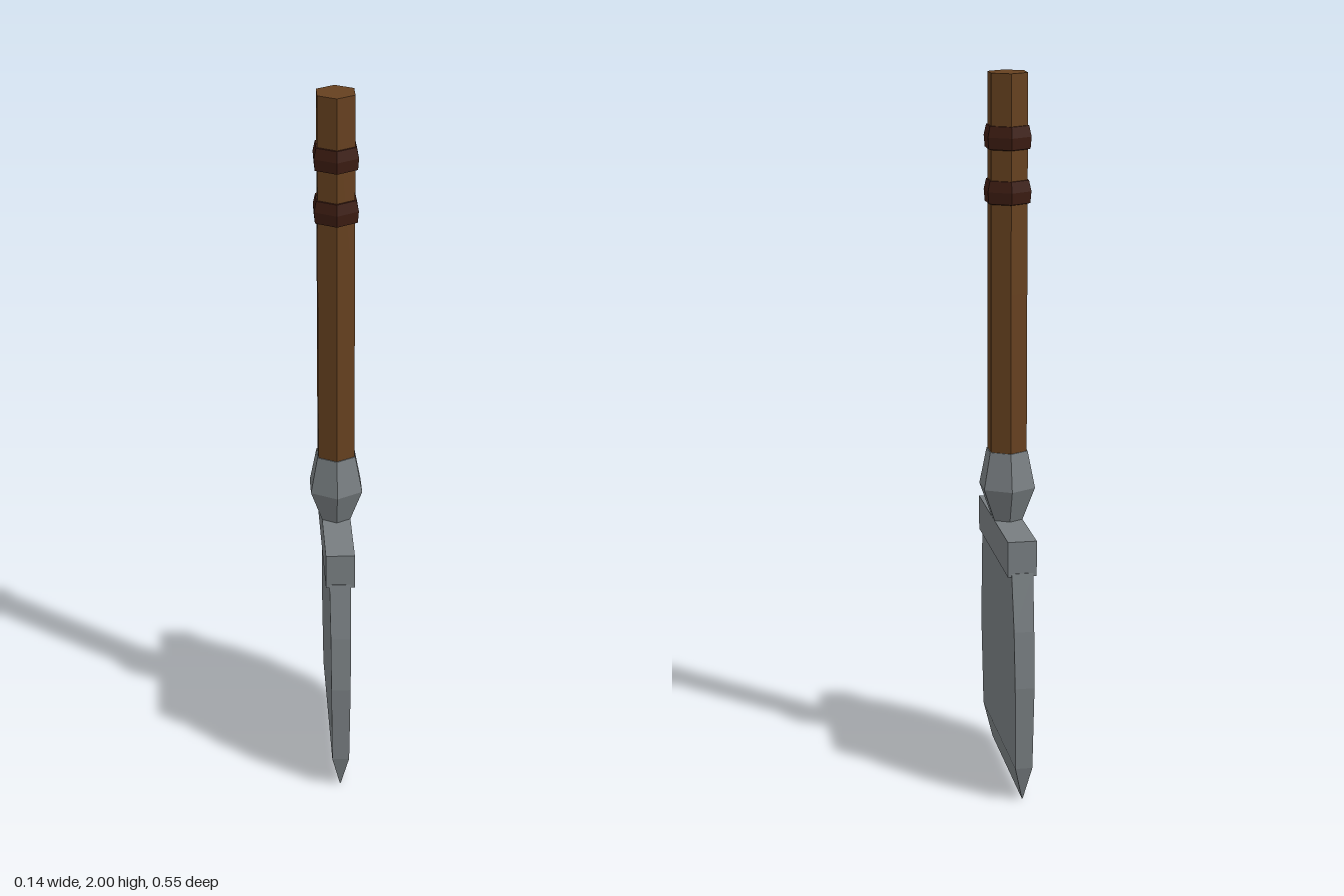
import * as THREE from 'three';

const paint = (color) => new THREE.MeshStandardMaterial({ color, flatShading: true });

// Closed hexagonal turned part from [radius, y] points, corners on +z and -z
function hexPart(name, profile, material) {
  const points = profile.map(([r, y]) => new THREE.Vector2(r, y));
  const mesh = new THREE.Mesh(new THREE.LatheGeometry(points, 6), material);
  mesh.name = name;
  return mesh;
}

// Shaft centre drifts slightly towards the back as it rises
const shaftZ = (y) => -0.01 * Math.max(0, (y - 0.95) / 1.05);

// Blade lofted through rectangular cross-sections [y, halfThickness, halfWidth]
function bladeGeometry(sections) {
  const positions = [];
  const index = [];
  for (const [y, x, z] of sections) {
    positions.push(x, y, z, x, y, -z, -x, y, -z, -x, y, z);
  }
  for (let s = 0; s < sections.length - 1; s++) {
    for (let i = 0; i < 4; i++) {
      const a = s * 4 + i;
      const b = s * 4 + ((i + 1) % 4);
      index.push(a, b, b + 4, a, b + 4, a + 4);
    }
  }
  const t = (sections.length - 1) * 4;
  index.push(t, t + 1, t + 2, t, t + 2, t + 3);
  const geometry = new THREE.BufferGeometry();
  geometry.setAttribute('position', new THREE.Float32BufferAttribute(positions, 3));
  geometry.setIndex(index);
  const flat = geometry.toNonIndexed();
  flat.computeVertexNormals();
  return flat;
}

export function createModel() {
  const group = new THREE.Group();
  group.name = 'spade';
  const metal = paint(0x777d80);
  const wood = paint(0x65401f);
  const binding = paint(0x3c1c12);

  // Wooden shaft
  const shaft = hexPart('shaft', [[0, 0.93], [0.058, 0.93], [0.058, 1.4], [0.058, 2], [0, 2]], wood);
  const p = shaft.geometry.attributes.position;
  for (let i = 0; i < p.count; i++) p.setZ(i, p.getZ(i) + shaftZ(p.getY(i)));
  group.add(shaft);

  // Two raised grip rings
  for (const y of [1.645, 1.793]) {
    const ring = hexPart('gripRing',
      [[0.056, y], [0.066, y + 0.003], [0.069, y + 0.035], [0.062, y + 0.065], [0.056, y + 0.066]], binding);
    ring.position.z = shaftZ(y);
    group.add(ring);
  }

  // Metal socket joining shaft and blade
  group.add(hexPart('socket', [[0, 0.74], [0.046, 0.75], [0.083, 0.845], [0.061, 0.95], [0, 0.95]], metal));

  // Shoulder bar across the top of the blade
  const shoulder = new THREE.Mesh(new THREE.BoxGeometry(0.08, 0.1, 0.472), metal);
  shoulder.name = 'shoulder';
  shoulder.position.y = 0.7;
  group.add(shoulder);

  // Bowed blade, ground to an edge at the bottom
  const blade = new THREE.Mesh(bladeGeometry([
    [0, 0.001, 0.24], [0.1, 0.024, 0.264], [0.34, 0.027, 0.277],
    [0.5, 0.028, 0.265], [0.66, 0.03, 0.238],
  ]), metal);
  blade.name = 'blade';
  group.add(blade);

  // Narrow underside of the cutting edge
  const edge = new THREE.Mesh(new THREE.PlaneGeometry(0.002, 0.48), metal);
  edge.name = 'cuttingEdge';
  edge.rotation.x = Math.PI / 2;
  group.add(edge);

  return group;
}
